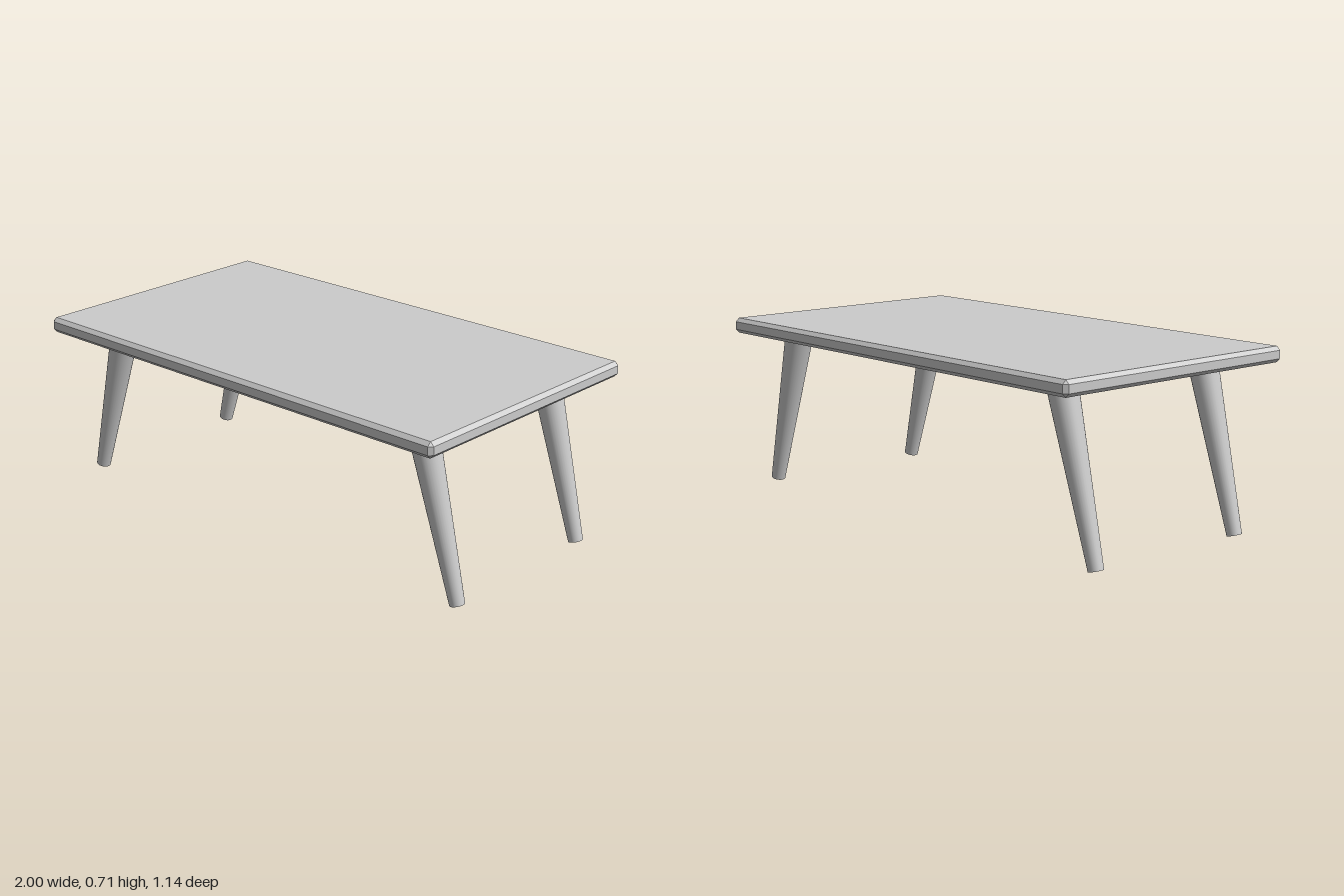
import * as THREE from 'three';
import { ConvexGeometry } from 'three/addons/geometries/ConvexGeometry.js';

const material = new THREE.MeshStandardMaterial({ color: 0xcccccc });

// Box with every edge cut by one flat chamfer
function chamferedBox(hx, hy, hz, c) {
  const points = [];
  for (const sx of [-1, 1]) for (const sy of [-1, 1]) for (const sz of [-1, 1]) {
    points.push(
      new THREE.Vector3(sx * hx, sy * (hy - c), sz * (hz - c)),
      new THREE.Vector3(sx * (hx - c), sy * hy, sz * (hz - c)),
      new THREE.Vector3(sx * (hx - c), sy * (hy - c), sz * hz)
    );
  }
  return new ConvexGeometry(points);
}

// Tapered round leg running between two points
function makeLeg(name, foot, top) {
  const axis = top.clone().sub(foot);
  const leg = new THREE.Mesh(new THREE.CylinderGeometry(0.059, 0.029, axis.length(), 32), material);
  leg.name = name;
  leg.position.copy(foot).add(top).multiplyScalar(0.5);
  leg.quaternion.setFromUnitVectors(new THREE.Vector3(0, 1, 0), axis.normalize());
  return leg;
}

export function createModel() {
  const table = new THREE.Group();
  table.name = 'table';

  // Slab
  const tabletop = new THREE.Mesh(chamferedBox(0.995, 0.031, 0.561, 0.015), material);
  tabletop.name = 'tabletop';
  tabletop.position.y = 0.675;
  table.add(tabletop);

  // Four legs splayed sideways, set slightly towards the back
  const offsetX = -0.006;
  for (const [side, sx] of [['Left', 1], ['Right', -1]]) {
    for (const [end, z] of [['front', 0.345], ['back', -0.383]]) {
      table.add(makeLeg(`${end}${side}Leg`,
        new THREE.Vector3(sx * 0.963 + offsetX, 0.008, z),
        new THREE.Vector3(sx * 0.779 + offsetX, 0.67, z)));
    }
  }

  // The whole table stands very slightly turned
  table.rotation.y = 0.007;
  const model = new THREE.Group();
  model.name = 'coffeeTable';
  model.add(table);
  return model;
}
